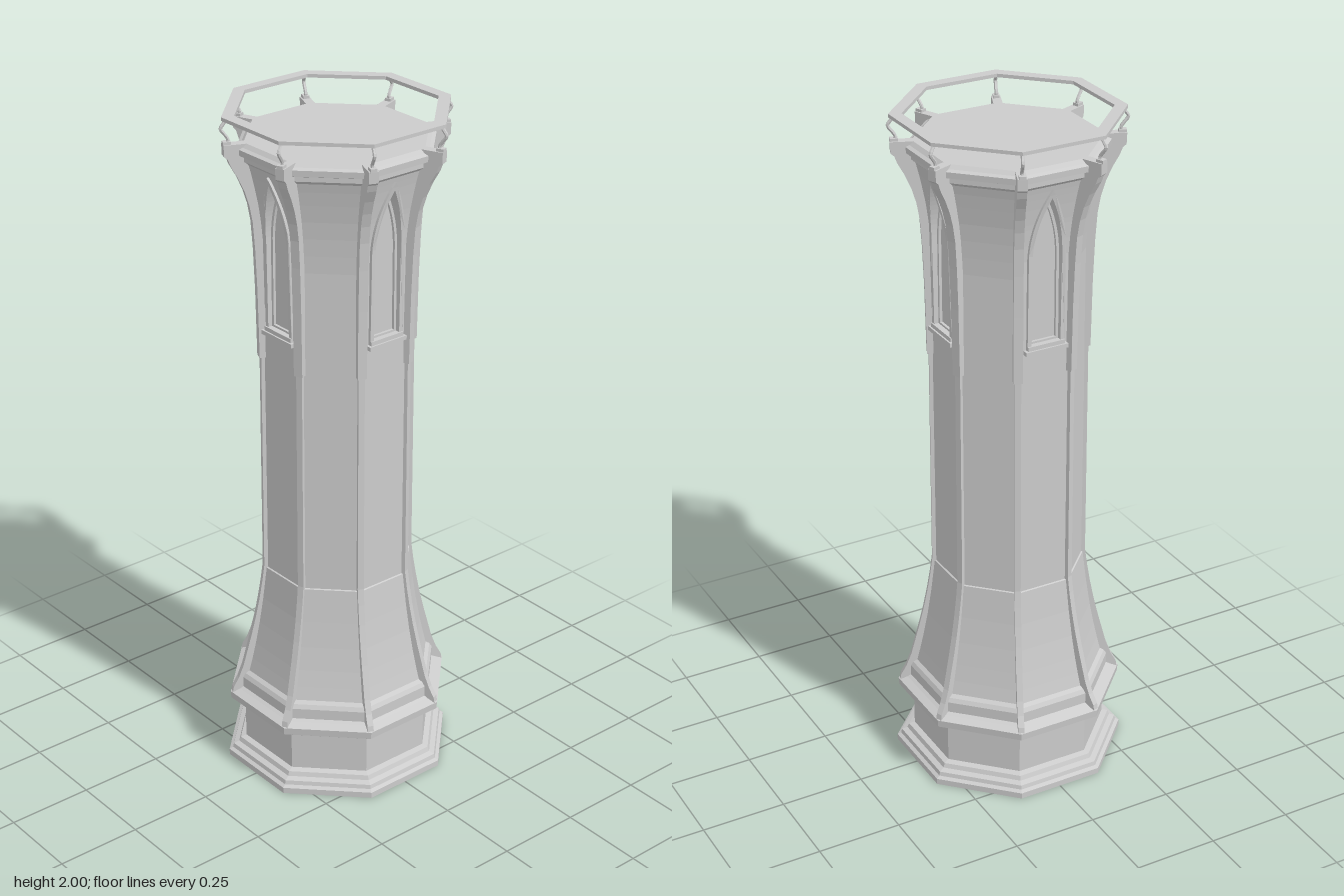
import * as THREE from 'three';

const COS = Math.cos(Math.PI / 8), TAN = Math.tan(Math.PI / 8);
const mat = new THREE.MeshStandardMaterial({ color: 0xcccccc, flatShading: true, side: THREE.DoubleSide });

// Profiles give [distance from axis to flat face, height]
const BASE = [[0, 0], [0.313, 0], [0.313, 0.018], [0.303, 0.024], [0.3, 0.036], [0.285, 0.042], [0.28, 0.055],
  [0.264, 0.06], [0.264, 0.178], [0.278, 0.182], [0.282, 0.195], [0.304, 0.2], [0.306, 0.222], [0.285, 0.232],
  [0.275, 0.238], [0.275, 0.27], [0.268, 0.282], [0.257, 0.29], [0.248, 0.33], [0.238, 0.38], [0.226, 0.45],
  [0.215, 0.53], [0.204, 0.63], [0.2, 0.632], [0.2, 1.3]];
const CORNICE = [[0.236, 1.865], [0.247, 1.875], [0.247, 1.888], [0.259, 1.893], [0.26, 1.91], [0.25, 1.915],
  [0.24, 1.925], [0, 1.925]];
const FLARE = [[0.2, 1.3], [0.2, 1.6], [0.203, 1.65], [0.207, 1.7], [0.213, 1.75], [0.222, 1.8], [0.23, 1.84], [0.24, 1.88]];
const RIB_LOW = [[0.302, 0.222], [0.299, 0.24], [0.284, 0.27], [0.27, 0.31], [0.258, 0.36], [0.246, 0.41], [0.233, 0.47],
  [0.222, 0.53], [0.213, 0.59], [0.207, 0.64], [0.206, 1.35]];
const RIB_HIGH = [[0.211, 1.3], [0.214, 1.5], [0.218, 1.62], [0.223, 1.7], [0.231, 1.75], [0.242, 1.79], [0.258, 1.83],
  [0.276, 1.865], [0.283, 1.885], [0.292, 1.893], [0.293, 1.925]];

// Window opening: straight jambs, then a pointed arch
const SILL = 1.4, SPRING = 1.65, HALF = 0.045;

function wallAt(y) {
  for (let i = 1; i < FLARE.length; i++) {
    const [a0, y0] = FLARE[i - 1], [a1, y1] = FLARE[i];
    if (y <= y1) return a0 + (a1 - a0) * Math.max(0, (y - y0) / (y1 - y0));
  }
  return 0.24;
}

function archPoints(offset) {
  const half = HALF + offset, r = 0.3825 + offset, c = r - half;
  const end = Math.acos(c / r), right = [];
  for (let i = 0; i <= 12; i++) {
    const t = end * i / 12;
    right.push([Math.max(0, r * Math.cos(t) - c), SPRING + r * Math.sin(t)]);
  }
  return [[half, SILL - offset], ...right];
}

function archShape(offset) {
  const right = archPoints(offset);
  const left = right.slice(0, -1).reverse().map(([x, y]) => [-x, y]);
  return [...right, ...left].map(([x, y]) => new THREE.Vector2(x, y));
}

function add(parent, geometry, name) {
  const m = new THREE.Mesh(geometry, mat);
  m.name = name;
  parent.add(m);
  return m;
}

const octagon = profile => new THREE.LatheGeometry(
  profile.map(([a, y]) => new THREE.Vector2(a / COS, y)), 8, Math.PI / 8);

// One flared upper wall face, optionally with the window opening and its reveal
function wallPanel(open) {
  const rows = FLARE.map(([, y]) => [y, 0]);
  if (open) {
    const arch = archPoints(0);
    rows.length = 0;
    rows.push([1.3, 0], [SILL, 0]);
    for (const [x, y] of arch) rows.push([y, x]);
    rows.push([1.85, 0], [1.88, 0]);
  }
  const pos = [];
  const quad = (a, b, c, d) => pos.push(...a, ...b, ...c, ...a, ...c, ...d);
  for (let i = 1; i < rows.length; i++) {
    const [y0, w0] = rows[i - 1], [y1, w1] = rows[i];
    const z0 = wallAt(y0), z1 = wallAt(y1);
    if (y1 > y0) {
      quad([w0, y0, z0], [z0 * TAN, y0, z0], [z1 * TAN, y1, z1], [w1, y1, z1]);
      quad([-z0 * TAN, y0, z0], [-w0, y0, z0], [-w1, y1, z1], [-z1 * TAN, y1, z1]);
    }
    if (w0 || w1) {
      quad([w0, y0, 0.186], [w0, y0, z0], [w1, y1, z1], [w1, y1, 0.186]);
      quad([-w0, y0, z0], [-w0, y0, 0.186], [-w1, y1, 0.186], [-w1, y1, z1]);
    }
  }
  const g = new THREE.BufferGeometry();
  g.setAttribute('position', new THREE.Float32BufferAttribute(pos, 3));
  g.computeVertexNormals();
  return g;
}

// Arched moulding between two offsets; it can lean out with the wall
function archFrame(inner, outer, depth, follow, z) {
  const shape = new THREE.Shape(archShape(outer));
  shape.holes.push(new THREE.Path(archShape(inner)));
  const g = new THREE.ExtrudeGeometry(shape, { depth, bevelEnabled: false });
  const p = g.attributes.position;
  for (let i = 0; i < p.count; i++) p.setZ(i, p.getZ(i) + (follow ? wallAt(p.getY(i)) : 0) + z);
  g.computeVertexNormals();
  return g;
}

function makeWindow() {
  const w = new THREE.Group();
  w.name = 'window';
  add(w, new THREE.ShapeGeometry(new THREE.Shape(archShape(0))).translate(0, 0, 0.187), 'windowPane');
  add(w, archFrame(0, 0.012, 0.014, true, -0.006), 'windowFrame');
  add(w, archFrame(-0.008, 0, 0.008, false, 0.187), 'windowInnerFrame');
  add(w, new THREE.BoxGeometry(0.13, 0.012, 0.03).translate(0, 1.384, 0.202), 'windowSill');
  add(w, new THREE.BoxGeometry(0.114, 0.012, 0.024).translate(0, 1.396, 0.2), 'windowSillStep');
  return w;
}

// Vertical rib cut from its outer profile, with its back buried in the wall
function rib(profile, back, thickness) {
  const pts = [...profile, ...back].map(([a, y]) => new THREE.Vector2(a / COS, y));
  return new THREE.ExtrudeGeometry(new THREE.Shape(pts), { depth: thickness, bevelEnabled: false })
    .translate(0, 0, -thickness / 2);
}

export function createModel() {
  const tower = new THREE.Group();
  tower.name = 'tower';
  add(tower, octagon(BASE), 'baseAndShaft');
  add(tower, octagon(CORNICE), 'corniceAndFloor');

  // Upper wall faces, with windows on every second one
  const plain = wallPanel(false), pierced = wallPanel(true);
  for (let k = 0; k < 8; k++) {
    const face = new THREE.Group();
    face.name = 'upperFace';
    face.rotation.y = k * Math.PI / 4;
    add(face, k % 2 ? plain : pierced, 'upperWall');
    if (k % 2 === 0) face.add(makeWindow());
    tower.add(face);
  }

  // Corner ribs and railing posts
  const lowRib = rib(RIB_LOW, [[0.19, 1.35], [0.19, 0.63], [0.22, 0.4], [0.25, 0.222]], 0.018);
  const highRib = rib(RIB_HIGH, [[0.236, 1.925], [0.225, 1.85], [0.2, 1.75], [0.19, 1.6], [0.19, 1.3]], 0.026);
  const postPath = new THREE.CatmullRomCurve3(
    [[0.283, 1.92], [0.279, 1.938], [0.287, 1.952], [0.297, 1.968], [0.289, 1.982], [0.282, 1.994]]
      .map(([a, y]) => new THREE.Vector3(a / COS, y, 0)));
  const post = new THREE.TubeGeometry(postPath, 14, 0.005, 6);
  const foot = new THREE.BoxGeometry(0.022, 0.01, 0.018).translate(0.283 / COS, 1.928, 0);
  for (let k = 0; k < 8; k++) {
    const corner = new THREE.Group();
    corner.name = 'corner';
    corner.rotation.y = (k + 0.5) * Math.PI / 4;
    add(corner, lowRib, 'lowerRib');
    add(corner, highRib, 'upperRib');
    add(corner, post, 'railPost');
    add(corner, foot, 'railPostFoot');
    tower.add(corner);
  }

  // Octagonal handrail
  add(tower, octagon([[0.262, 1.99], [0.295, 1.99], [0.295, 2], [0.262, 2], [0.262, 1.99]]), 'handrail');
  return tower;
}
